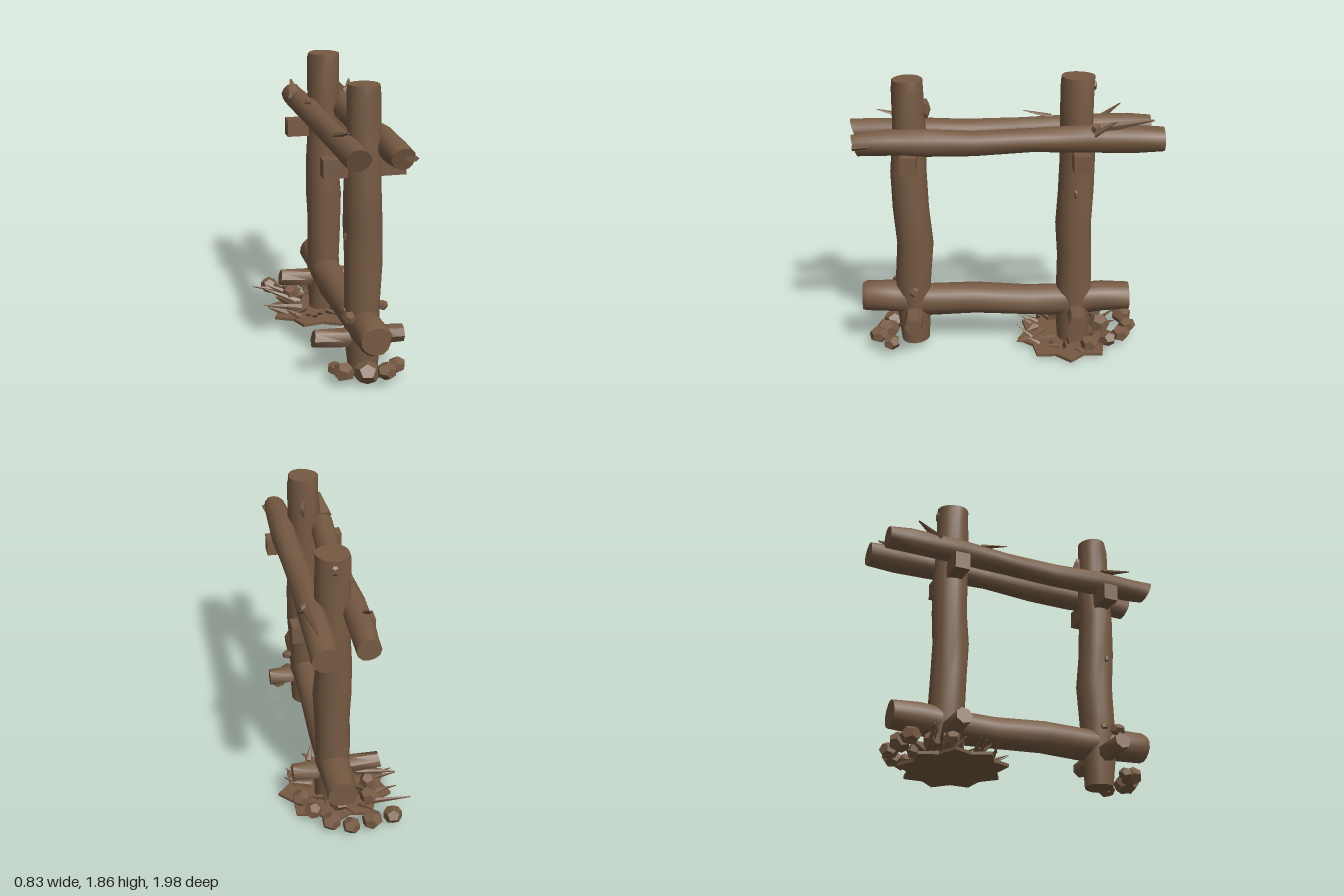
import * as THREE from 'three';
import { mergeVertices, toCreasedNormals } from 'three/addons/utils/BufferGeometryUtils.js';

const bark = new THREE.MeshStandardMaterial({ color: 0x765a43 });
bark.name = 'brown wood';

let seed = 7;
const rand = () => (seed = (seed * 16807) % 2147483647) / 2147483647;
const between = (a, b) => a + (b - a) * rand();

function add(parent, name, geometry, x = 0, y = 0, z = 0) {
  const mesh = new THREE.Mesh(geometry, bark);
  mesh.name = name;
  mesh.position.set(x, y, z);
  parent.add(mesh);
  return mesh;
}

// Knotty log through stations [x, y, z, radius], listed in rising order of its axis.
// slant shifts the low and high end caps along the axis, by height.
function logGeometry(axis, stations, sides = 14, wobble = 0.035, slant = [0, 0]) {
  const n = stations.length - 1;
  let g = new THREE.CylinderGeometry(1, 1, 1, sides, n);
  const p = g.attributes.position;
  for (let i = 0; i < p.count; i++) {
    const row = Math.round((p.getY(i) + 0.5) * n);
    const [cx, cy, cz, r] = stations[row];
    const a = Math.atan2(p.getZ(i), p.getX(i));
    const k = r * (1 + wobble * Math.sin(3 * a + row * 2.1 + cx * 9) + wobble * 0.6 * Math.cos(2 * a - row * 1.7));
    const u = p.getX(i) * k, v = p.getZ(i) * k;
    const tilt = row === 0 ? slant[0] : row === n ? slant[1] : 0;
    if (axis === 'y') p.setXYZ(i, cx + u, cy + tilt * u, cz + v);
    else if (axis === 'z') p.setXYZ(i, cx + u, cy - v, cz - tilt * v);
    else p.setXYZ(i, cx - tilt * u, cy - u, cz + v);
  }
  g.deleteAttribute('uv');
  g.deleteAttribute('normal');
  g = mergeVertices(g, 1e-4);
  return toCreasedNormals(g, 0.9);
}

// Faceted lump with uneven corners
function rock(parent, name, x, y, z, sx, sy, sz) {
  const m = add(parent, name, new THREE.DodecahedronGeometry(1, 0), x, y, z);
  m.scale.set(sx, sy, sz);
  m.rotation.y = between(0, 6);
  return m;
}

// Pointed sliver from a to b
function splinter(parent, name, a, b, width, thick = 0.4) {
  const from = new THREE.Vector3(...a), to = new THREE.Vector3(...b);
  const dir = to.clone().sub(from);
  const g = new THREE.CylinderGeometry(0.15, 1, 1, 5).toNonIndexed();
  g.computeVertexNormals();
  const m = add(parent, name, g);
  m.position.copy(from).add(to).multiplyScalar(0.5);
  m.scale.set(width, dir.length(), width * thick);
  m.quaternion.setFromUnitVectors(new THREE.Vector3(0, 1, 0), dir.normalize());
  return m;
}

export function createModel() {
  const model = new THREE.Group();
  model.name = 'logFrame';

  // Upright posts
  add(model, 'frontPost', logGeometry('y', [
    [0.04, 0.05, 0.61, 0.095], [0.035, 0.25, 0.61, 0.11], [0.035, 0.5, 0.61, 0.115], [0.04, 0.75, 0.595, 0.12],
    [0.035, 1.0, 0.61, 0.12], [0.03, 1.25, 0.62, 0.115], [0.035, 1.5, 0.61, 0.105], [0.035, 1.8, 0.61, 0.102],
    [0.035, 1.86, 0.61, 0.097]], 16));
  add(model, 'backPost', logGeometry('y', [
    [0.04, 0.03, -0.46, 0.11], [0.04, 0.2, -0.46, 0.115], [0.035, 0.42, -0.46, 0.115], [0.035, 0.65, -0.455, 0.115],
    [0.035, 0.88, -0.45, 0.12], [0.03, 1.1, -0.46, 0.115], [0.035, 1.35, -0.46, 0.112], [0.035, 1.6, -0.455, 0.108],
    [0.035, 1.83, -0.455, 0.108], [0.035, 1.87, -0.455, 0.104]], 16));

  // Paired upper rails, one on each side of the posts
  add(model, 'rightTopRail', logGeometry('z', [
    [-0.085, 1.5, -0.94, 0.072], [-0.09, 1.5, -0.8, 0.078], [-0.09, 1.5, -0.45, 0.08], [-0.08, 1.49, -0.1, 0.074],
    [-0.075, 1.48, 0.25, 0.076], [-0.085, 1.49, 0.6, 0.08], [-0.085, 1.49, 0.85, 0.076], [-0.085, 1.49, 0.96, 0.074]],
    12, 0.04, [0, 0.4]));
  add(model, 'leftTopRail', logGeometry('z', [
    [0.17, 1.49, -0.99, 0.08], [0.17, 1.495, -0.8, 0.087], [0.17, 1.5, -0.5, 0.086], [0.165, 1.49, -0.15, 0.078],
    [0.175, 1.48, 0.2, 0.08], [0.185, 1.49, 0.5, 0.085], [0.18, 1.49, 0.75, 0.082], [0.185, 1.48, 0.94, 0.07]],
    12, 0.04, [0, 0.3]));

  // Heavy lower rail passing through the posts
  add(model, 'bottomRail', logGeometry('z', [
    [0.035, 0.335, -0.83, 0.092], [0.035, 0.335, -0.65, 0.1], [0.04, 0.32, -0.42, 0.107], [0.035, 0.315, -0.15, 0.103],
    [0.03, 0.335, 0.2, 0.105], [0.035, 0.335, 0.5, 0.105], [0.035, 0.36, 0.75, 0.105], [0.035, 0.365, 0.92, 0.103],
    [0.035, 0.365, 0.95, 0.09]], 14));

  // Cross pieces beneath the rails
  for (const [side, z] of [['front', 0.61], ['back', -0.47]]) {
    add(model, side + 'TopCrossbar', new THREE.BoxGeometry(0.51, 0.115, 0.1), 0.035, 1.365, z);
    add(model, side + 'BottomCrossbar', logGeometry('x', [
      [-0.28, 0.275, z + 0.01, 0.055], [-0.1, 0.265, z + 0.01, 0.062], [0.15, 0.26, z, 0.062], [0.3, 0.255, z, 0.058]],
      7, 0.02, [0.2, 0]));
  }

  // Wedges, knots and split bark
  const details = new THREE.Group();
  details.name = 'knotsAndSplinters';
  model.add(details);
  rock(details, 'knot', -0.07, 0.43, 0.7, 0.045, 0.04, 0.06);
  rock(details, 'knot', 0.17, 0.45, 0.6, 0.035, 0.035, 0.035);
  rock(details, 'knot', -0.07, 0.44, 0.6, 0.03, 0.03, 0.03);
  rock(details, 'knot', 0.22, 1.58, -0.56, 0.035, 0.035, 0.035);
  rock(details, 'knot', 0.05, 1.67, 0.505, 0.04, 0.07, 0.018);
  rock(details, 'knot', 0.04, 1.81, -0.56, 0.03, 0.035, 0.015);
  rock(details, 'knot', -0.075, 0.93, 0.63, 0.015, 0.03, 0.02);
  rock(details, 'knot', 0.155, 1.12, -0.45, 0.015, 0.03, 0.02);
  splinter(details, 'barkSplinter', [-0.11, 1.56, 0.6], [-0.11, 1.62, 0.82], 0.05);
  splinter(details, 'barkSplinter', [0.2, 1.57, -0.55], [0.2, 1.625, -0.92], 0.04, 1);
  splinter(details, 'barkSplinter', [-0.1, 1.565, -0.3], [-0.12, 1.6, -0.12], 0.035);
  splinter(details, 'barkSplinter', [0.23, 1.55, -0.55], [0.27, 1.64, -0.68], 0.04);
  splinter(details, 'barkSplinter', [-0.13, 1.53, -0.6], [-0.13, 1.64, -0.75], 0.05);
  splinter(details, 'barkSplinter', [0.23, 1.48, 0.95], [0.24, 1.5, 0.62], 0.045);

  // Stones around the front post
  const stones = new THREE.Group();
  stones.name = 'stones';
  model.add(stones);
  for (const [x, y, z, s] of [[0.02, 0.1, 0.8, 0.085], [-0.12, 0.1, 0.76, 0.075], [0.13, 0.12, 0.85, 0.065],
    [0.22, 0.11, 0.76, 0.06], [-0.16, 0.1, 0.7, 0.05]]) {
    rock(stones, 'frontStone', x, y, z, s, s * 0.85, s);
  }
  // Stones behind the back post
  for (const [x, y, z, s] of [[-0.3, 0.09, -0.8, 0.065], [-0.16, 0.09, -0.82, 0.07], [-0.02, 0.08, -0.84, 0.06],
    [0.1, 0.08, -0.78, 0.065], [0.2, 0.1, -0.68, 0.06], [0.26, 0.1, -0.55, 0.06], [-0.2, 0.14, -0.5, 0.06],
    [-0.18, 0.12, -0.62, 0.065], [0.02, 0.12, -0.64, 0.075]]) {
    rock(stones, 'backStone', x, y, z, s, s * 0.9, s);
  }

  // Ragged mat of litter under the back post
  const mat = new THREE.Shape();
  for (let i = 0; i < 18; i++) {
    const a = (i / 18) * Math.PI * 2, k = i % 2 ? 0.86 : 1.06;
    const x = 0.01 + 0.36 * k * Math.cos(a), y = 0.42 + 0.32 * k * Math.sin(a);
    if (i) mat.lineTo(x, y); else mat.moveTo(x, y);
  }
  const matGeometry = new THREE.ExtrudeGeometry(mat, { depth: 0.02, bevelEnabled: false });
  matGeometry.rotateX(-Math.PI / 2);
  add(model, 'litterMat', matGeometry, 0, 0.025, 0);

  // Loose chips spread over the mat
  const litter = new THREE.Group();
  litter.name = 'woodChips';
  model.add(litter);
  for (let i = 0; i < 34; i++) {
    const a = i * 2.4, r = between(0.15, 0.28);
    const x = 0.01 + r * Math.cos(a), z = -0.42 + r * Math.sin(a);
    const turn = a + between(-0.9, 0.9), len = between(0.07, 0.14);
    const y = between(0.04, 0.1);
    splinter(litter, 'woodChip', [x, y, z],
      [x + len * Math.cos(turn), y + between(-0.02, 0.08), z + len * Math.sin(turn)], between(0.02, 0.04), 0.5);
  }
  // Longer twigs leaning out to the right
  for (const [z, y, x] of [[-0.7, 0.13, -0.44], [-0.62, 0.17, -0.36], [-0.5, 0.18, -0.38], [-0.4, 0.1, -0.41]]) {
    splinter(litter, 'twig', [-0.15, 0.08, z + 0.06], [x, y, z], 0.03, 0.6);
  }
  return model;
}
